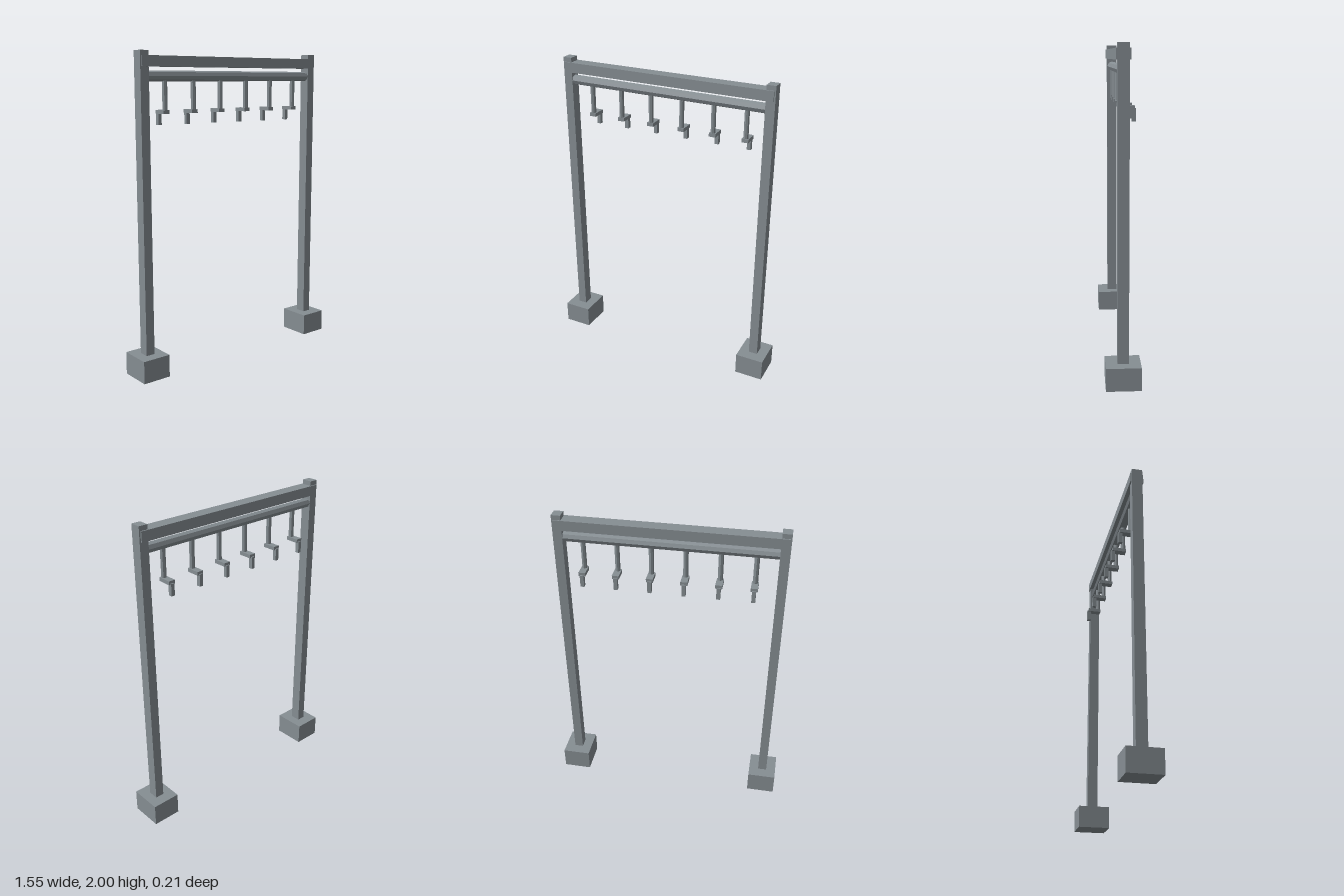
import * as THREE from 'three';

export function createModel() {
  const model = new THREE.Group();
  model.name = 'hookRack';
  const steel = new THREE.MeshStandardMaterial({ color: 0x868e93, flatShading: true });
  steel.name = 'steelGrey';

  const add = (parent, name, geometry, x, y, z) => {
    const mesh = new THREE.Mesh(geometry, steel);
    mesh.name = name;
    mesh.position.set(x, y, z);
    parent.add(mesh);
    return mesh;
  };
  // Box given by its bottom and top heights
  const box = (parent, name, w, y0, y1, d, x = 0, z = 0) =>
    add(parent, name, new THREE.BoxGeometry(w, y1 - y0, d), x, (y0 + y1) / 2, z);

  // Footings and posts
  for (const [side, s] of [['left', 1], ['right', -1]]) {
    box(model, side + 'Footing', 0.185, 0, 0.143, 0.21, s * 0.682);
    box(model, side + 'Post', 0.058, 0.143, 2, 0.068, s * 0.682);
  }

  // Top beam, and the round rail below it
  box(model, 'topBeam', 1.404, 1.907, 1.971, 0.084);
  const rail = add(model, 'rail', new THREE.CylinderGeometry(0.032, 0.032, 1.31, 8), 0, 1.853, 0);
  rail.rotation.z = Math.PI / 2;

  // Row of hangers: rod, backward arm and downturned tip
  for (let i = 0; i < 6; i++) {
    const hanger = new THREE.Group();
    hanger.name = 'hanger' + (i + 1);
    hanger.position.x = -0.522 + i * 0.2115;
    add(hanger, 'rod', new THREE.CylinderGeometry(0.016, 0.016, 0.2, 8), 0, 1.74, 0);
    box(hanger, 'arm', 0.043, 1.627, 1.65, 0.09, 0, -0.029);
    box(hanger, 'tip', 0.024, 1.557, 1.634, 0.026, 0, -0.069);
    model.add(hanger);
  }
  return model;
}
